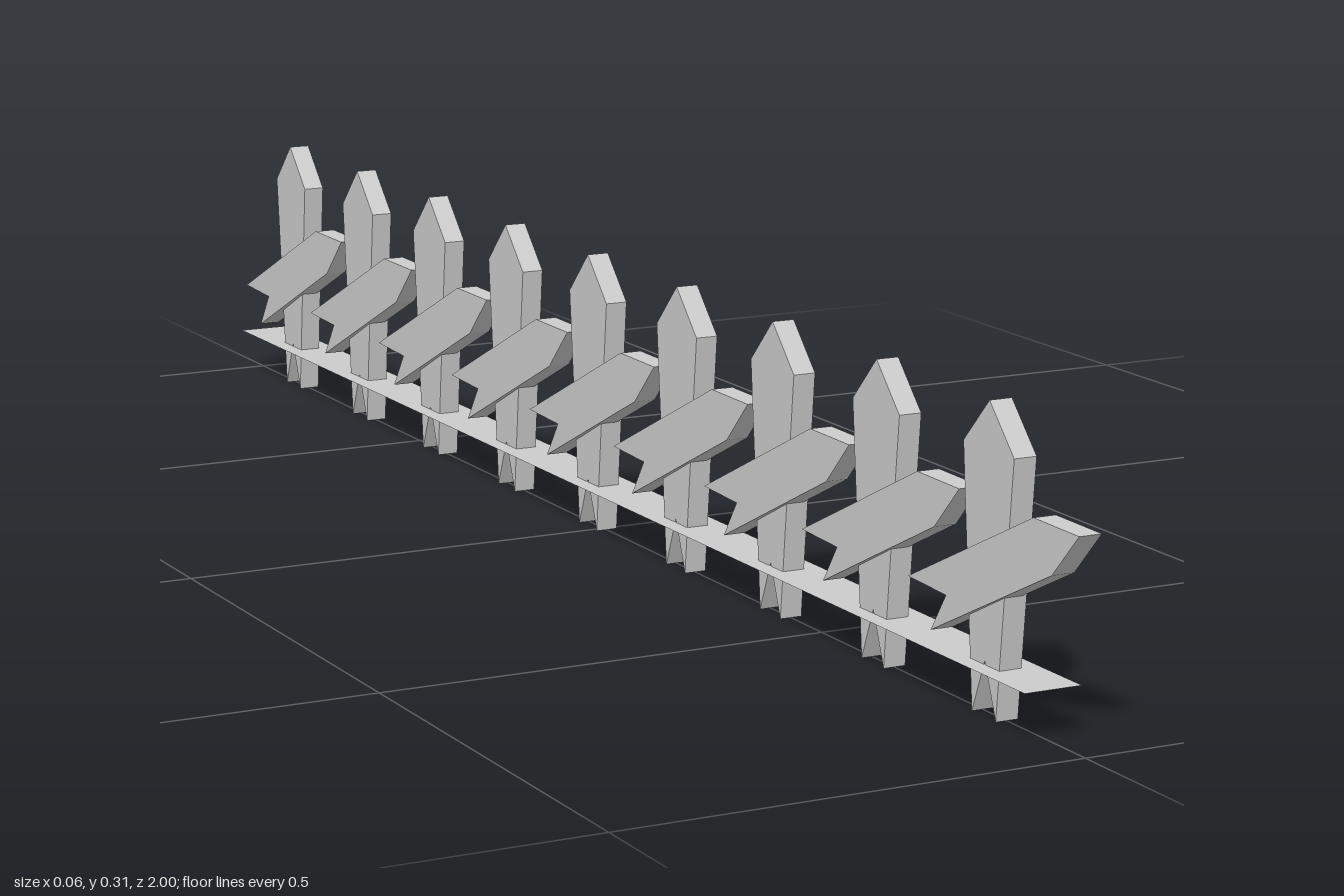
import * as THREE from 'three';

const COUNT = 9, FIRST_Z = 0.839, STEP = 0.2133, THICK = 0.025;

// Board cut from an outline given as [z, y] points, centred on x = 0
function board(points) {
  const shape = new THREE.Shape(points.map(([z, y]) => new THREE.Vector2(z, y)));
  const geo = new THREE.ExtrudeGeometry(shape, { depth: THICK, bevelEnabled: false });
  geo.translate(0, 0, -THICK / 2);
  geo.rotateY(-Math.PI / 2);
  return geo;
}

export function createModel() {
  const model = new THREE.Group();
  model.name = 'picketFence';
  const material = new THREE.MeshStandardMaterial({ color: 0xcccccc, flatShading: true });

  // Upright picket: pointed top, tapering sides, forked foot
  const picketGeo = board([
    [0, 0.313], [-0.046, 0.265], [-0.022, 0], [0, 0.056], [0.022, 0], [0.046, 0.265],
  ]);

  // Sloping slat: pointed high end at the front, forked low end behind
  const slatGeo = board([
    [0.161, 0.215], [0.086, 0.217], [-0.128, 0.112], [-0.06, 0.108], [-0.086, 0.067], [0.118, 0.168],
  ]);
  // Skew the slat sideways so its low end stands out from the picket
  const pos = slatGeo.attributes.position;
  for (let i = 0; i < pos.count; i++) {
    pos.setX(i, pos.getX(i) + 0.038 * (pos.getZ(i) - 0.161));
  }
  slatGeo.computeVertexNormals();

  for (let i = 0; i < COUNT; i++) {
    const section = new THREE.Group();
    section.name = `fenceSection${i + 1}`;
    section.position.z = FIRST_Z - i * STEP;
    const picket = new THREE.Mesh(picketGeo, material);
    picket.name = 'picket';
    const slat = new THREE.Mesh(slatGeo, material);
    slat.name = 'slopingSlat';
    section.add(picket, slat);
    model.add(section);
  }

  // Thin flat strip running along the feet
  const stripMaterial = material.clone();
  stripMaterial.side = THREE.DoubleSide;
  const stripGeo = new THREE.PlaneGeometry(0.064, 1.937);
  stripGeo.rotateX(-Math.PI / 2);
  const strip = new THREE.Mesh(stripGeo, stripMaterial);
  strip.name = 'baseStrip';
  strip.position.set(0, 0.052, -0.026);
  model.add(strip);

  return model;
}
